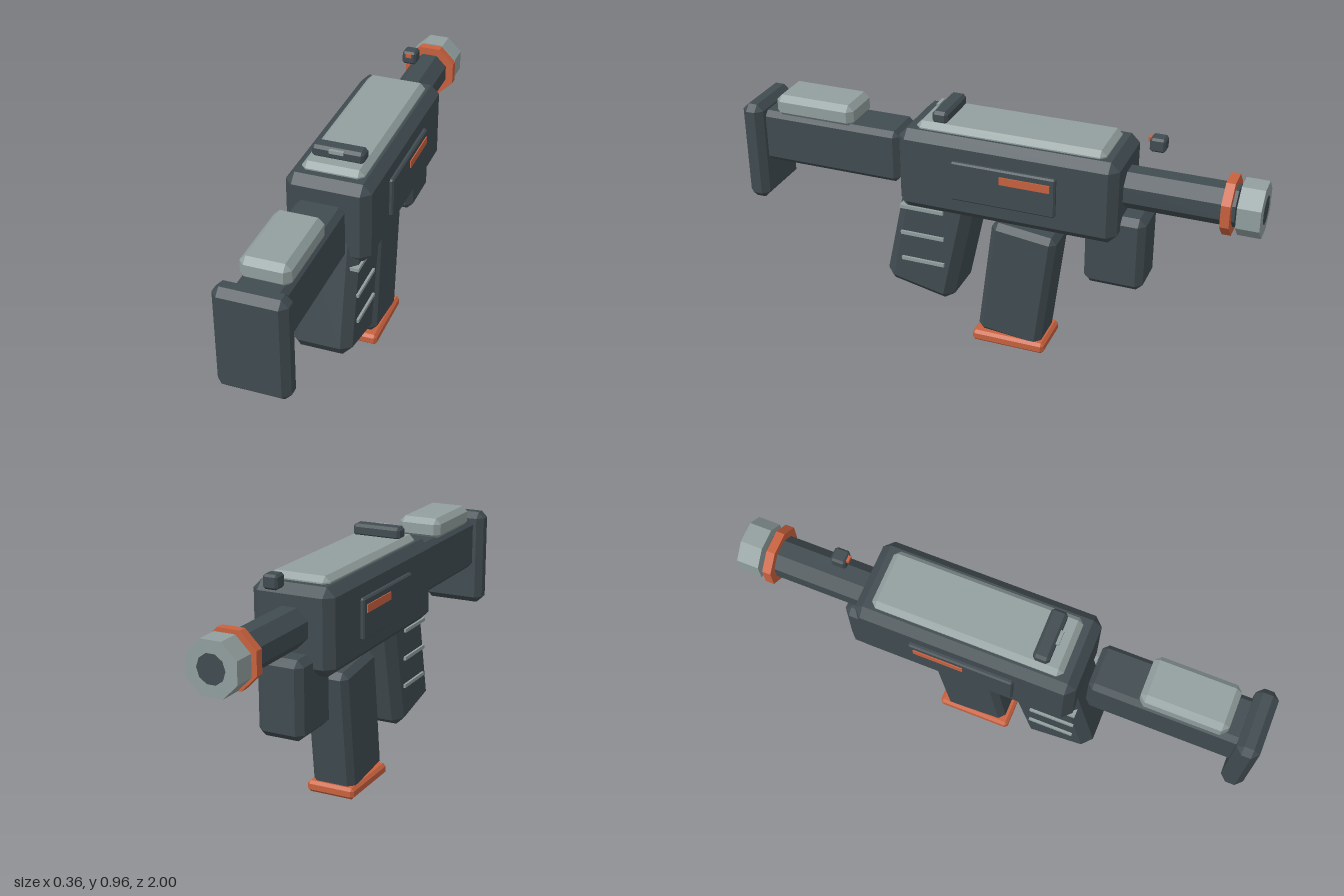
import * as THREE from 'three';
import { ConvexGeometry } from 'three/addons/geometries/ConvexGeometry.js';

const mat = (name, color) => {
  const m = new THREE.MeshStandardMaterial({ color });
  m.name = name;
  return m;
};

// Box with every edge and corner cut flat by the bevel b
function bevelBox(w, h, d, b) {
  const [x, y, z] = [w / 2, h / 2, d / 2];
  const points = [];
  for (const i of [-1, 1]) for (const j of [-1, 1]) for (const k of [-1, 1]) {
    points.push(
      new THREE.Vector3(i * x, j * (y - b), k * (z - b)),
      new THREE.Vector3(i * (x - b), j * y, k * (z - b)),
      new THREE.Vector3(i * (x - b), j * (y - b), k * z));
  }
  return new ConvexGeometry(points);
}

export function createModel() {
  const group = new THREE.Group();
  const dark = mat('dark slate', 0x414c51);
  const light = mat('pale grey', 0x92a09f);
  const orange = mat('orange', 0xc9623f);

  const add = (name, geometry, material, x, y, z, tilt = 0) => {
    const mesh = new THREE.Mesh(geometry, material);
    mesh.name = name;
    mesh.position.set(x, y, z);
    mesh.rotation.x = tilt;
    group.add(mesh);
    return mesh;
  };
  // Bevelled block given by its half width and its y and z ranges
  const block = (name, material, hx, y0, y1, z0, z1, b) =>
    add(name, bevelBox(hx * 2, y1 - y0, z1 - z0, b), material, 0, (y0 + y1) / 2, (z0 + z1) / 2);

  // Body and top cover
  block('body', dark, 0.16, 0.573, 0.893, -0.505, 0.335, 0.033);
  block('topCover', light, 0.117, 0.86, 0.918, -0.447, 0.275, 0.02);

  // Side panels with stripes
  for (const s of [-1, 1]) {
    add('sidePanel', bevelBox(0.03, 0.154, 0.4, 0.006), dark, s * 0.16, 0.733, -0.085);
    add('sideStripe', new THREE.BoxGeometry(0.009, 0.03, 0.19), orange, s * 0.1745, 0.77, -0.17);
  }

  // Stock, cheek pad and butt plate
  block('stock', dark, 0.09, 0.63, 0.838, 0.363, 0.94, 0.02);
  block('cheekPad', light, 0.09, 0.825, 0.912, 0.548, 0.87, 0.022);
  block('buttPlate', dark, 0.13, 0.473, 0.87, 0.915, 1, 0.025);

  // Rear grip with ridges
  add('rearGrip', bevelBox(0.236, 0.5, 0.285, 0.036), dark, 0, 0.43, 0.238, -0.21);
  for (const y of [0.333, 0.446, 0.559]) {
    add('gripRidge', new THREE.BoxGeometry(0.254, 0.014, 0.175), light, 0, y, 0.257);
  }

  // Magazine and its base
  add('magazine', bevelBox(0.174, 0.49, 0.257, 0.023), dark, 0, 0.275, -0.105, -0.12);
  block('magazineBase', orange, 0.098, 0, 0.045, -0.225, 0.068, 0.011);

  // Front grip
  block('frontGrip', dark, 0.09, 0.36, 0.655, -0.595, -0.37, 0.025);

  // Eight-sided barrel, ring and muzzle, flat side up; r is to the flats
  const prism = (name, material, r, z0, z1) => {
    const geometry = new THREE.CylinderGeometry(r / Math.cos(Math.PI / 8), r / Math.cos(Math.PI / 8), z1 - z0, 8);
    geometry.rotateY(Math.PI / 8).rotateX(Math.PI / 2);
    const flat = geometry.toNonIndexed();
    flat.computeVertexNormals();
    add(name, flat, material, 0, 0.745, (z0 + z1) / 2);
  };
  prism('barrel', dark, 0.072, -0.905, -0.45);
  prism('barrelRing', orange, 0.102, -0.893, -0.86);
  prism('muzzle', light, 0.095, -0.998, -0.914);
  add('muzzleBore', new THREE.CircleGeometry(0.054, 10).rotateY(Math.PI), dark, 0, 0.745, -1);

  // Sights with their markers
  block('rearSight', dark, 0.098, 0.912, 0.96, 0.157, 0.218, 0.011);
  add('rearSightMarker', new THREE.BoxGeometry(0.054, 0.013, 0.012), light, 0, 0.951, 0.222);
  block('frontSight', dark, 0.028, 0.908, 0.96, -0.635, -0.578, 0.008);
  add('frontSightMarker', new THREE.BoxGeometry(0.024, 0.016, 0.01), orange, 0, 0.948, -0.575);

  return group;
}
